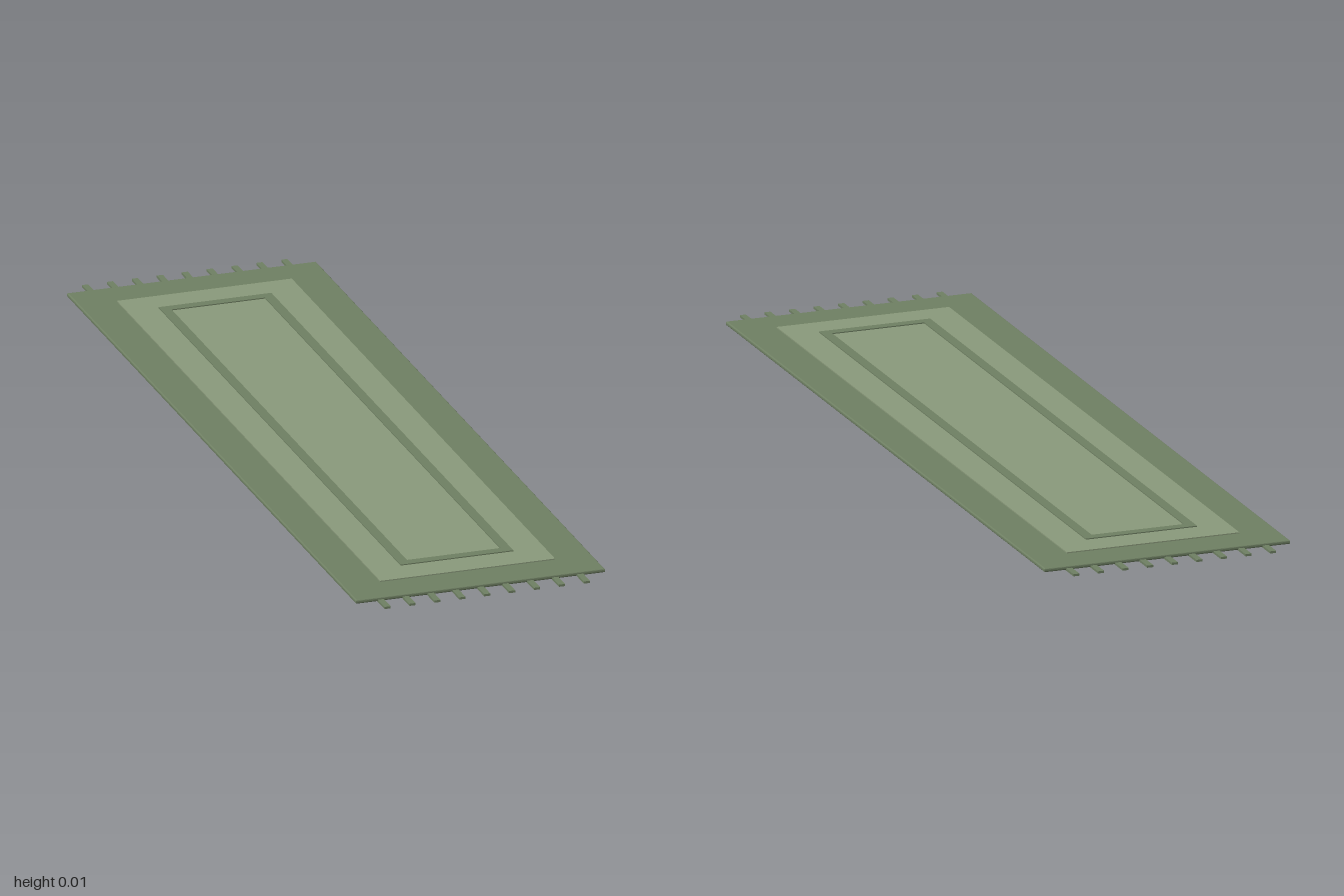
import * as THREE from 'three';

const dark = new THREE.MeshStandardMaterial({ color: 0x6f8063 });
const light = new THREE.MeshStandardMaterial({ color: 0x8a9a7b });

function add(parent, name, geometry, material, x = 0, y = 0, z = 0) {
  const mesh = new THREE.Mesh(geometry, material);
  mesh.name = name;
  mesh.position.set(x, y, z);
  parent.add(mesh);
  return mesh;
}

// Box given by its half extents in x and z, standing between two heights
function slab(parent, name, hx, hz, y0, y1, material, x = 0, z = 0) {
  return add(parent, name, new THREE.BoxGeometry(hx * 2, y1 - y0, hz * 2), material, x, (y0 + y1) / 2, z);
}

export function createModel() {
  const rug = new THREE.Group();
  rug.name = 'runnerRug';

  // Woven body with softly bevelled edges
  const bevel = 0.003, hx = 0.285 - bevel, hz = 0.955 - bevel;
  const outline = new THREE.Shape([
    new THREE.Vector2(-hx, -hz), new THREE.Vector2(hx, -hz),
    new THREE.Vector2(hx, hz), new THREE.Vector2(-hx, hz),
  ]);
  const body = new THREE.ExtrudeGeometry(outline, {
    depth: 0.003, bevelThickness: bevel, bevelSize: bevel, bevelSegments: 3,
  });
  body.rotateX(-Math.PI / 2);
  add(rug, 'body', body, dark, 0, 0.001 + bevel, 0);

  // Raised lighter field
  slab(rug, 'field', 0.2, 0.87, 0.009, 0.0125, light);

  // Thin border strips framing the centre
  const border = new THREE.Group();
  border.name = 'innerBorder';
  rug.add(border);
  for (const s of [-1, 1]) {
    slab(border, 'borderSide', 0.011, 0.8, 0.0115, 0.0148, dark, s * 0.118);
    slab(border, 'borderEnd', 0.107, 0.011, 0.0115, 0.0148, dark, 0, s * 0.789);
  }

  // Fringe tassels at both short ends
  const fringe = new THREE.Group();
  fringe.name = 'fringe';
  rug.add(fringe);
  for (const s of [-1, 1]) {
    for (let i = -4; i <= 4; i++) {
      slab(fringe, 'tassel', 0.007, 0.025, 0, 0.005, dark, i * 0.057, s * 0.975);
    }
  }
  return rug;
}
